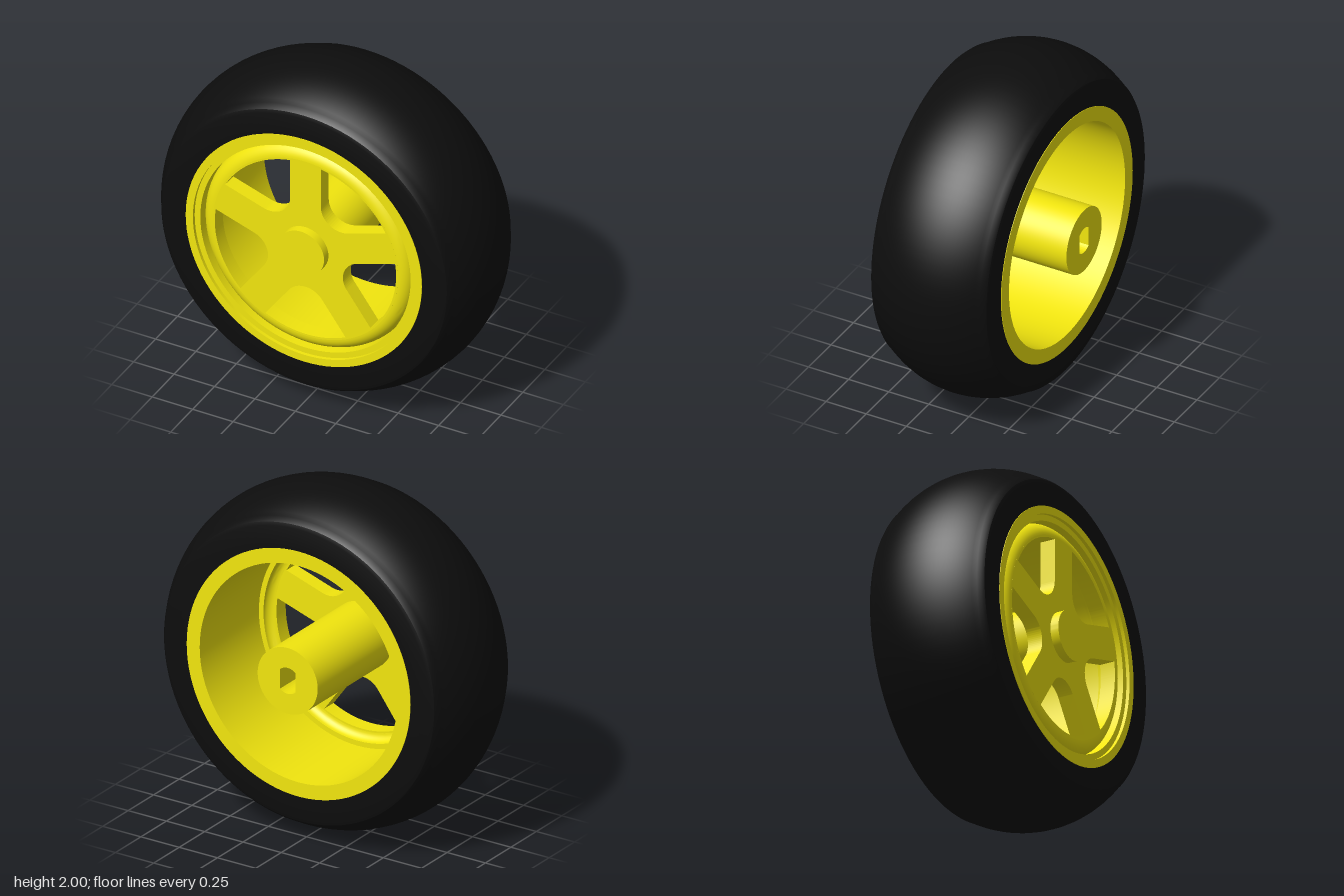
import * as THREE from 'three';
import { toCreasedNormals } from 'three/addons/utils/BufferGeometryUtils.js';

const SEG = 96;
const yellow = new THREE.MeshStandardMaterial({ color: 0xf2e60e });
const black = new THREE.MeshStandardMaterial({ color: 0x0d0d0d });

// Closed (radius, z) profile, counter-clockwise, spun around the z axis
function spin(points) {
  const profile = points.map(([r, z]) => new THREE.Vector2(r, z));
  profile.push(profile[0].clone());
  const geo = new THREE.LatheGeometry(profile, SEG);
  geo.rotateX(Math.PI / 2);
  return toCreasedNormals(geo, 0.5);
}

// Points along an elliptical arc in (radius, z), angles in radians
function arc(cr, cz, rr, rz, a0, a1, n) {
  return Array.from({ length: n + 1 }, (_, i) => {
    const a = a0 + ((a1 - a0) * i) / n;
    return [cr + rr * Math.cos(a), cz + rz * Math.sin(a)];
  });
}

function extrude(shape, z0, z1) {
  const geo = new THREE.ExtrudeGeometry(shape, { depth: z1 - z0, bevelEnabled: false, curveSegments: 48 });
  geo.translate(0, 0, z0);
  return toCreasedNormals(geo, 0.5);
}

function disc(radius) {
  return new THREE.Shape().absarc(0, 0, radius, 0, Math.PI * 2, false);
}

// Window between two spokes: straight sides, round inner end, arc outer end
function windowPath(dir) {
  const half = 0.095, fillet = 0.126, outer = 0.56, step = Math.PI / 5;
  const c = (half + fillet) / Math.sin(step);
  const end = step - Math.asin(half / outer);
  const path = new THREE.Path();
  path.absarc(0, 0, outer, dir - end, dir + end, false);
  path.absarc(c * Math.cos(dir), c * Math.sin(dir), fillet,
    dir + step + Math.PI / 2, dir - step + Math.PI * 1.5, false);
  path.closePath();
  return path;
}

export function createModel() {
  const model = new THREE.Group();
  model.name = 'wheel';
  const wheel = new THREE.Group();
  wheel.position.y = 1;
  model.add(wheel);
  const add = (name, geo, mat) => {
    const mesh = new THREE.Mesh(geo, mat);
    mesh.name = name;
    wheel.add(mesh);
  };

  // Tyre with a crowned tread and rounded shoulders
  const crown = Math.asin(0.325 / 0.594);
  add('tyre', spin([
    [0.73, -0.328], [0.86, -0.328], [0.88, -0.322], [0.894, -0.307],
    ...arc(0.406, 0.037, 0.594, 0.594, -crown, crown, 24),
    [0.894, 0.381], [0.88, 0.396], [0.86, 0.402], [0.73, 0.402],
  ]), black);

  // Rim barrel with a stepped front lip and a rounded ring that carries the spokes
  add('rim', spin([
    [0.645, -0.331], [0.73, -0.331], [0.73, 0.405], [0.685, 0.405],
    [0.685, 0.385], [0.65, 0.385],
    ...arc(0.57, 0.305, 0.08, 0.08, 0, Math.PI / 2, 10),
    ...arc(0.57, 0.25, 0.045, 0.045, Math.PI / 2, 0, 8),
    [0.645, 0.25],
  ]), yellow);

  // Five-spoke face
  const face = disc(0.572);
  for (let i = 0; i < 5; i++) face.holes.push(windowPath(-Math.PI / 2 + (i * Math.PI * 2) / 5));
  add('spokes', extrude(face, 0.295, 0.385), yellow);

  // Centre cap
  add('centreCap', extrude(disc(0.142), 0.37, 0.435), yellow);

  // Rear hub with a flat-sided axle socket
  const socket = new THREE.Path();
  const flat = Math.acos(0.05 / 0.077);
  socket.absarc(0, 0, 0.077, flat, Math.PI - flat, false);
  socket.absarc(0, 0, 0.077, Math.PI + flat, -flat, false);
  socket.closePath();
  const hub = disc(0.196);
  hub.holes.push(socket);
  add('hub', extrude(hub, -0.437, 0.3), yellow);

  return model;
}
